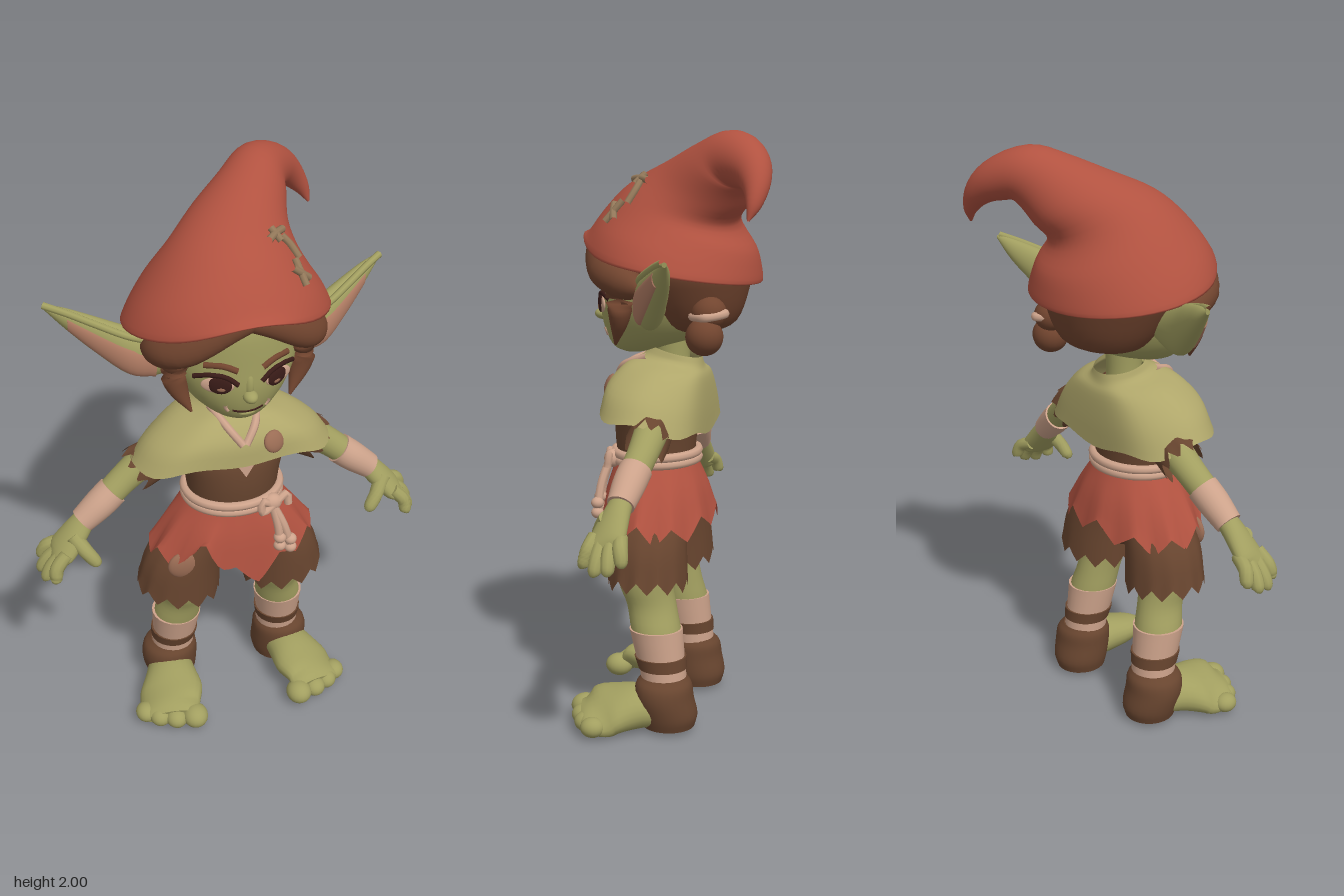
import * as THREE from 'three';

const V = (x, y, z) => new THREE.Vector3(x, y, z);
const UP = V(0, 1, 0);

function mat(name, color, double = false) {
  const m = new THREE.MeshStandardMaterial({ color });
  m.name = name;
  if (double) m.side = THREE.DoubleSide;
  return m;
}

// Smooth skin over elliptical rings [x, y, z, rx, rz, nx, ny, nz].
// Ring planes follow the given normal, straight up (flat), or the path.
function loft(rings, { n = 24, sub = 4, flat = false, cap = true, edit = null } = {}) {
  const curve = f => new THREE.CatmullRomCurve3(rings.map(f), false, 'catmullrom', 0.5);
  const pos = curve(r => V(r[0], r[1], r[2])), rad = curve(r => V(r[3], r[4] ?? r[3], 0));
  const nor = rings[0].length > 5 ? curve(r => V(r[5], r[6], r[7])) : null;
  const steps = (rings.length - 1) * sub, rows = [];
  for (let i = 0; i <= steps; i++) {
    const t = i / steps, c = pos.getPoint(t), r = rad.getPoint(t);
    const d = flat ? UP : (nor ? nor.getPoint(t).normalize() : pos.getTangent(t));
    const q = new THREE.Quaternion().setFromUnitVectors(UP, d), row = [];
    for (let j = 0; j < n; j++) {
      const a = j / n * Math.PI * 2;
      const v = V(Math.cos(a) * Math.max(r.x, 0.001), 0, Math.sin(a) * Math.max(r.y, 0.001)).applyQuaternion(q).add(c);
      if (edit) edit(v, a, t);
      row.push(v);
    }
    rows.push(row);
  }
  if (cap) {
    const first = rows[0], last = rows[steps];
    rows.unshift(first.map(() => pos.getPoint(0)), first);
    rows.push(last, last.map(() => pos.getPoint(1)));
  }
  const index = [];
  for (let i = 0; i < rows.length - 1; i++) for (let j = 0; j < n; j++) {
    const a = i * n + j, b = i * n + (j + 1) % n;
    index.push(a, a + n, b, b, a + n, b + n);
  }
  const g = new THREE.BufferGeometry().setFromPoints(rows.flat());
  g.setIndex(index);
  g.computeVertexNormals();
  return g;
}

const mirror = (rings, s) => rings.map(([x, y, z, a, b, nx, ...rest]) =>
  nx === undefined ? [x * s, y, z, a, b ?? a] : [x * s, y, z, a, b, nx * s, ...rest]);
// Triangle wave from 0 to 1 for ragged hems, and a soft bump around an angle
const teeth = (a, count) => Math.abs(((a / (Math.PI * 2) * count) % 1) * 2 - 1);
const bump = (a, at, width) => Math.exp(-(((a - at) / width) ** 2));

export function createModel() {
  const skin = mat('green skin', 0xa29f60), capeMat = mat('olive cloth', 0xafa66a, true);
  const red = mat('red cloth', 0xb15240, true), hair = mat('hair brown', 0x72452f);
  const brown = mat('brown cloth', 0x68452f, true), pink = mat('bandage pink', 0xcda38b);
  const earPink = mat('ear pink', 0xb57f66), dark = mat('dark eye', 0x3a1c18);
  const tan = mat('tan wood', 0x9a6c54), stitchMat = mat('stitch tan', 0x94795a);
  const model = new THREE.Group();
  const add = (name, geo, m) => {
    const mesh = new THREE.Mesh(geo, m);
    mesh.name = name;
    model.add(mesh);
    return mesh;
  };
  const ball = (name, m, p, sx, sy = sx, sz = sx) => {
    const b = add(name, new THREE.SphereGeometry(1, 20, 14), m);
    b.position.set(...p);
    b.scale.set(sx, sy, sz);
    return b;
  };
  const tube = (name, m, pts, r, closed = false) => add(name, new THREE.TubeGeometry(
    new THREE.CatmullRomCurve3(pts.map(p => V(...p)), closed), closed ? 64 : 16, r, 8, closed), m);
  const hit = (mesh, from, dir) => new THREE.Raycaster(from, dir).intersectObject(mesh)[0].point;

  // Head, neck, nose and mouth
  const head = add('head', loft([[0, 1.262, 0.175, 0.02, 0.03], [0, 1.282, 0.15, 0.085, 0.09], [0, 1.33, 0.1, 0.15, 0.165],
    [0, 1.4, 0.08, 0.195, 0.2], [0, 1.48, 0.07, 0.215, 0.21], [0, 1.6, 0.05, 0.2, 0.225], [0, 1.66, 0.05, 0.17, 0.2]],
  { flat: true, n: 36 }), skin);
  const onFace = (x, y) => hit(head, V(x, y, 2), V(0, 0, -1));
  add('neck', loft([[0, 1.16, 0.04, 0.065], [0, 1.24, 0.04, 0.06], [0, 1.33, 0.04, 0.065]], { flat: true }), skin);
  ball('nose', skin, [0, 1.388, 0.283], 0.024, 0.02, 0.03);
  ball('noseBridge', skin, [0, 1.425, 0.267], 0.017, 0.05, 0.02);
  const faceLine = (name, m, xy, r) => tube(name, m, xy.map(([x, y]) => onFace(x, y).toArray()), r);
  faceLine('mouth', dark, [[-0.05, 1.328], [-0.02, 1.321], [0.02, 1.321], [0.05, 1.328]], 0.004);
  ball('lowerLip', skin, [0, 1.308, 0.248], 0.03, 0.01, 0.012);

  // Hair, bun and its tie
  add('hairBack', loft([[0, 1.335, -0.03, 0.08, 0.07], [0, 1.375, -0.04, 0.17, 0.14], [0, 1.48, -0.02, 0.24, 0.2],
    [0, 1.56, -0.005, 0.268, 0.22], [0, 1.64, 0.05, 0.23, 0.21]], { flat: true, n: 36 }), hair);
  ball('hairBun', hair, [0.2, 1.345, -0.12], 0.062);
  tube('bunTie', pink, [[0.19, 1.42, -0.185], [0.135, 1.42, -0.13], [0.18, 1.41, -0.075], [0.232, 1.41, -0.13]], 0.015, true);
  ball('bunRoot', hair, [0.18, 1.42, -0.13], 0.058, 0.055, 0.058);

  // Hat with a flipped-up front brim and a tail that curls over to one side
  const hat = add('hat', loft([[0, 1.6, 0.02, 0.28, 0.25, 0, 1, -0.17], [0, 1.553, 0.027, 0.338, 0.293, 0, 1, -0.17],
    [0, 1.615, 0.02, 0.313, 0.29, 0, 1, -0.24], [0.01, 1.69, 0, 0.262, 0.256, 0.05, 1, -0.3],
    [0.04, 1.77, -0.02, 0.202, 0.19, 0.2, 1, -0.4], [0.09, 1.83, -0.1, 0.15, 0.152, 0.4, 1, -0.5],
    [0.15, 1.885, -0.17, 0.112, 0.114, 0.48, 0.7, -0.53], [0.2, 1.908, -0.225, 0.092, 0.092, 0.75, 0.25, -0.5],
    [0.275, 1.875, -0.285, 0.066, 0.064, 0.8, -0.35, -0.4], [0.33, 1.825, -0.31, 0.045, 0.043, 0.6, -0.8, -0.1],
    [0.372, 1.77, -0.312, 0.025, 0.023, 0.4, -0.9, 0.1], [0.392, 1.725, -0.3, 0.004, 0.004, 0.3, -0.9, 0.1]],
  { n: 48, cap: false, edit: (v, a, t) => {
    const f = bump(a, Math.PI / 2, 0.55) * bump(t, 1 / 11, 0.06);
    v.y += 0.065 * f;
    v.z += 0.02 * f;
  } }), red);
  // Toggle stitches lying on the hat
  const stitch = (...xz) => tube('hatStitch', stitchMat, xz.map(([x, z]) =>
    hit(hat, V(x, 3, z), V(0, -1, 0)).add(V(0, 0.006, 0.006)).toArray()), 0.012);
  stitch([0.1, 0.135], [0.13, 0.105], [0.165, 0.07]);
  stitch([0.12, 0.09], [0.145, 0.12]);
  stitch([0.16, 0.185], [0.19, 0.18], [0.22, 0.17]);
  stitch([0.18, 0.15], [0.2, 0.205]);
  stitch([0.15, 0.1], [0.175, 0.11], [0.2, 0.13]);

  // Tunic, shorts seat and ragged skirt
  add('tunic', loft([[0, 0.88, 0.095, 0.15, 0.13], [0, 1, 0.095, 0.165, 0.14], [0, 1.1, 0.08, 0.19, 0.14],
    [0, 1.17, 0.06, 0.15, 0.1], [0, 1.22, 0.04, 0.07, 0.06]], { flat: true, n: 32 }), brown);
  add('shortsSeat', loft([[0, 0.6, 0.08, 0.06, 0.08], [0, 0.65, 0.08, 0.14, 0.11], [0, 0.75, 0.085, 0.165, 0.13],
    [0, 0.89, 0.095, 0.145, 0.125]], { flat: true, n: 32 }), brown);
  add('raggedSkirt', loft([[0, 0.68, 0.085, 0.292, 0.195], [0, 0.8, 0.09, 0.225, 0.172], [0, 0.9, 0.095, 0.157, 0.137]], {
    flat: true, n: 88, cap: false, edit: (v, a, t) => {
      const notch = 0.12 * bump(a, 2.08, 0.14) - 0.04 * bump(a, 1.45, 0.25);
      v.y += (1 - t) ** 2 * (notch + 0.06 * teeth(a, 11) - 0.02 + 0.015 * Math.sin(3 * a));
    } }), red);
  ball('shortsPatch', tan, [-0.2, 0.675, 0.192], 0.058, 0.055, 0.02);

  // Capelet, collar and brooch
  const cape = add('capelet', loft([[0, 1.06, 0.075, 0.342, 0.168, 0, 1, -0.2], [0, 1.14, 0.07, 0.288, 0.164, 0, 1, -0.2],
    [0, 1.21, 0.052, 0.195, 0.138, 0, 1, -0.15], [0, 1.24, 0.032, 0.108, 0.104, 0, 1, -0.2], [0, 1.272, 0.022, 0.09, 0.088, 0, 1, -0.25]],
  { n: 48, cap: false, edit: (v, a, t) => {
    v.z += (1 - t) * 0.09 * Math.sin(a) * Math.cos(a) ** 2;
    v.y += (1 - t) ** 2 * (0.01 * Math.cos(6 * a) - 0.025 * Math.max(0, -Math.sin(a)));
  } }), capeMat);
  const onCape = (x, y) => hit(cape, V(x, y, 2), V(0, 0, -1));
  for (const s of [-1, 1]) {
    tube('collar', pink, [[s * 0.08, 1.255], [s * 0.045, 1.218], [s * 0.005, 1.165]].map(([x, y]) => onCape(x, y).toArray()), 0.014);
  }
  const neckline = new THREE.Shape([new THREE.Vector2(-0.06, 0.03), new THREE.Vector2(0, -0.05), new THREE.Vector2(0.06, 0.03)]);
  const throat = add('throat', new THREE.ExtrudeGeometry(neckline, { depth: 0.008, bevelEnabled: false }), skin);
  throat.position.set(0, 1.215, 0.16);
  throat.rotation.x = -0.65;
  const notch = add('tunicNotch', new THREE.CircleGeometry(0.035, 3, -Math.PI / 2), pink);
  notch.position.set(0.005, 1.073, 0.238);
  const brooch = ball('brooch', tan, onCape(0.1, 1.16).toArray(), 0.038, 0.038, 0.016);
  brooch.rotation.set(-0.4, 0.3, 0);

  // Rope belt with knot and hanging ends
  for (const y of [0.898, 0.922]) {
    tube('ropeBelt', pink, Array.from({ length: 16 }, (_, i) => {
      const a = i / 8 * Math.PI;
      return [0.163 * Math.cos(a), y, 0.095 + 0.142 * Math.sin(a)];
    }), 0.016, true);
  }
  ball('ropeKnot', pink, [0.1, 0.905, 0.225], 0.036, 0.032, 0.028);
  tube('ropeBow', pink, [[0.1, 0.9, 0.235], [0.06, 0.925, 0.245], [0.06, 0.885, 0.25], [0.1, 0.9, 0.24], [0.155, 0.925, 0.22], [0.16, 0.885, 0.225]], 0.014);
  for (const [x, y] of [[0.12, 0.75], [0.158, 0.735]]) {
    tube('ropeEnd', pink, [[0.1, 0.9, 0.235], [(x + 0.11) / 2, 0.82, 0.255], [x, y, 0.262]], 0.015);
    for (const d of [0, 0.034]) ball('ropeBead', pink, [x, y + d - 0.01, 0.262], 0.022, 0.02, 0.022);
  }

  for (const s of [-1, 1]) {
    const part = (name, rings, m, opt) => add(name, loft(mirror(rings, s), opt), m);

    // Ear with a paler inside and a rim along the top
    const ear = [[0.17, 1.45, 0.05, 0.05, 0.04], [0.25, 1.45, 0.045, 0.078, 0.05], [0.33, 1.468, 0.025, 0.085, 0.053],
      [0.42, 1.515, -0.018, 0.064, 0.043], [0.5, 1.562, -0.058, 0.038, 0.028], [0.565, 1.603, -0.085, 0.008, 0.008]]
      .map(r => [...r, 1, 0, 0]);
    part('ear', ear, skin);
    part('innerEar', ear.slice(1, 5).map(([x, y, z, a, b, ...d]) => [x, y - a * 0.16, z + b * 0.62, a * 0.68, b * 0.46, ...d]), earPink);
    tube('earRim', skin, ear.slice(1).map(([x, y, z, a, b]) => [s * x, y + a * 0.8, z + b * 0.65]), 0.012);

    // Swept fringe and side lock
    part('fringe', [[-0.01, 1.66, 0.275, 0.035, 0.035], [0.1, 1.625, 0.262, 0.055, 0.042], [0.195, 1.56, 0.205, 0.068, 0.055],
      [0.25, 1.515, 0.125, 0.055, 0.055], [0.285, 1.49, 0.06, 0.01, 0.015]], hair);
    part('sideLock', [[0.2, 1.56, 0.18, 0.04, 0.055], [0.212, 1.47, 0.16, 0.04, 0.052], [0.202, 1.39, 0.165, 0.03, 0.036],
      [0.165, 1.305, 0.19, 0.004, 0.004]], hair);

    // Eye, lash, brow and small tusk
    const eyeAt = (name, m, x, y, out, ...size) => {
      const p = onFace(s * x, y);
      ball(name, m, [p.x, p.y, p.z + out], ...size).rotation.y = s * 0.45;
    };
    eyeAt('eyeWhite', pink, 0.099, 1.432, 0, 0.053, 0.028, 0.008);
    eyeAt('iris', dark, 0.093, 1.434, 0.004, 0.038, 0.031, 0.008);
    eyeAt('irisGlow', tan, 0.091, 1.423, 0.009, 0.016, 0.009, 0.005);
    faceLine('lash', dark, [[s * 0.038, 1.435], [s * 0.075, 1.463], [s * 0.12, 1.467], [s * 0.162, 1.45]], 0.009);
    faceLine('eyebrow', hair, [[s * 0.04, 1.485], [s * 0.08, 1.502], [s * 0.135, 1.5]], 0.011);
    faceLine('tusk', pink, [[s * 0.062, 1.325], [s * 0.07, 1.338], [s * 0.072, 1.352]], 0.006);

    // Arm, ragged sleeve and wrist wrap
    part('arm', [[0.18, 1.1, 0.04, 0.058], [0.27, 1.045, 0.037, 0.056], [0.36, 0.98, 0.045, 0.05], [0.44, 0.915, 0.06, 0.046],
      [0.515, 0.855, 0.07, 0.037]], skin);
    part('sleeve', [[0.16, 1.085, 0.045, 0.07, 0.065], [0.23, 1.05, 0.042, 0.074, 0.068], [0.315, 1.008, 0.042, 0.078, 0.072]], brown, {
      n: 48, cap: false, edit: (v, a, t) => {
        const d = t ** 3 * (teeth(a, 9) - 0.5) * 0.045;
        v.x += s * d * 0.8;
        v.y -= d * 0.6;
      } });
    part('wristWrap', [[0.405, 0.943, 0.053, 0.054], [0.455, 0.903, 0.062, 0.053], [0.518, 0.853, 0.07, 0.045]], pink);

    // Hand and fingers
    part('palm', [[0.505, 0.865, 0.068, 0.035, 0.037], [0.55, 0.815, 0.08, 0.036, 0.052], [0.6, 0.758, 0.09, 0.032, 0.064],
      [0.624, 0.73, 0.092, 0.02, 0.052]], skin);
    for (const [x, y, z] of [[0.66, 0.7, 0.027], [0.669, 0.674, 0.068], [0.661, 0.666, 0.112], [0.636, 0.68, 0.153]]) {
      const z0 = 0.09 + (z - 0.09) * 0.65;
      part('finger', [[0.59, 0.77, z0, 0.023], [(x + 0.62) / 2, y + 0.05, z0 * 0.4 + z * 0.6, 0.024], [x, y + 0.01, z, 0.021], [x, y, z, 0.008]], skin, { n: 10 });
    }
    part('thumb', [[0.56, 0.82, 0.1, 0.028], [0.525, 0.77, 0.135, 0.025], [0.497, 0.73, 0.15, 0.021], [0.49, 0.715, 0.152, 0.008]], skin, { n: 12 });

    // Leg, shorts leg with ragged hem, and wraps
    part('leg', [[0.205, 0.12, 0.015, 0.065], [0.2, 0.25, 0.03, 0.07, 0.075], [0.195, 0.33, 0.045, 0.082, 0.085],
      [0.18, 0.42, 0.065, 0.073, 0.085], [0.175, 0.5, 0.085, 0.08, 0.095], [0.16, 0.62, 0.08, 0.09, 0.1]], skin, { flat: true });
    part('shortsLeg', [[0.192, 0.505, 0.075, 0.146, 0.135], [0.168, 0.65, 0.08, 0.13, 0.13], [0.095, 0.8, 0.085, 0.09, 0.115]], brown, {
      flat: true, n: 72, cap: false, edit: (v, a, t) => { v.y += (1 - t) ** 3 * ((teeth(a, 12) - 0.6) * 0.04 + 0.02 * Math.cos(a) * s); } });
    part('calfWrap', [[0.2, 0.245, 0.03, 0.078, 0.083], [0.195, 0.345, 0.047, 0.088, 0.091]], pink, { flat: true });
    part('shinStrap', [[0.203, 0.21, 0.022, 0.081, 0.083], [0.2, 0.25, 0.03, 0.085, 0.089]], brown, { flat: true });
    part('ankleWrap', [[0.205, 0.15, 0.015, 0.077], [0.203, 0.215, 0.022, 0.077, 0.079]], pink, { flat: true });

    // Heel wrap, foot and toes
    part('heelWrap', [[0.21, 0.008, 0, 0.085, 0.09], [0.212, 0.05, 0, 0.097, 0.1], [0.217, 0.11, 0.012, 0.102, 0.1],
      [0.214, 0.155, 0.015, 0.097, 0.096], [0.207, 0.18, 0.016, 0.077, 0.079]], brown, { flat: true });
    part('foot', [[0.22, 0.07, 0.02, 0.075, 0.06], [0.237, 0.075, 0.1, 0.092, 0.07], [0.257, 0.065, 0.18, 0.118, 0.061],
      [0.278, 0.05, 0.24, 0.114, 0.047], [0.287, 0.04, 0.28, 0.09, 0.034]], skin);
    for (const [x, z, r] of [[0.2, 0.3, 0.046], [0.266, 0.284, 0.04], [0.32, 0.258, 0.039], [0.364, 0.224, 0.038]]) {
      ball('toe', skin, [s * x, r * 0.9, z], r, r * 0.9, r * 1.1);
    }
  }
  return model;
}
